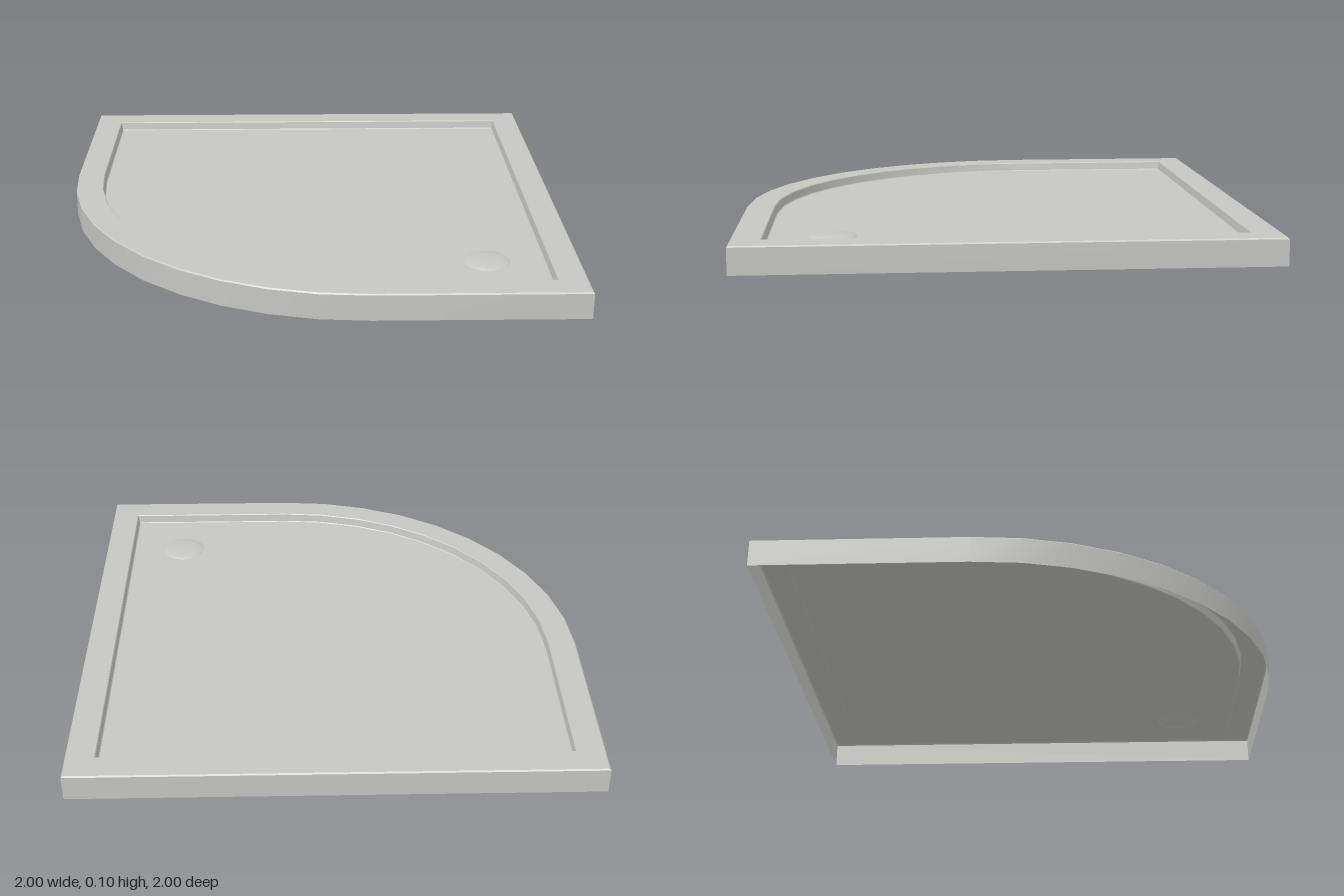
import * as THREE from 'three';
import { toCreasedNormals } from 'three/addons/utils/BufferGeometryUtils.js';

const RADIUS = 1.2, ARC_STEPS = 10;
const FLOOR_Y = 0.068, FLOOR_INSET = 0.12;
const DRAIN = { x: 0.66, z: 0.64, r: 0.09 };

// Quadrant outline moved inwards by a given amount; counterclockwise from above, as [x, z]
function outline(inset) {
  const e = 1 - inset, c = RADIUS - 1, r = RADIUS - inset;
  const points = [[e, e], [e, -e], [-e, -e]];
  for (let i = 0; i <= ARC_STEPS; i++) {
    const a = (i / ARC_STEPS) * Math.PI / 2;
    points.push([c - r * Math.cos(a), -c + r * Math.sin(a)]);
  }
  return points;
}

// Skin running around the outline through a list of [inset, height] steps
function skin(profile) {
  const positions = [], index = [];
  let n = 0;
  for (const [inset, y] of profile) {
    const loop = outline(inset);
    n = loop.length;
    for (const [x, z] of loop) positions.push(x, y, z);
  }
  for (let j = 0; j < profile.length - 1; j++) {
    for (let k = 0; k < n; k++) {
      const a = j * n + k, b = j * n + (k + 1) % n;
      index.push(a, b, b + n, a, b + n, a + n);
    }
  }
  const geometry = new THREE.BufferGeometry();
  geometry.setAttribute('position', new THREE.Float32BufferAttribute(positions, 3));
  geometry.setIndex(index);
  return toCreasedNormals(geometry, 0.45);
}

export function createModel() {
  const group = new THREE.Group();
  group.name = 'showerTray';
  const enamel = new THREE.MeshStandardMaterial({ color: 0xc6c6c3, side: THREE.DoubleSide });
  enamel.name = 'palegrey enamel';

  const add = (name, geometry) => {
    const mesh = new THREE.Mesh(geometry, enamel);
    mesh.name = name;
    group.add(mesh);
    return mesh;
  };

  // Outer skirt with a softened top edge
  add('skirt', skin([[0, 0], [0, 0.1], [0.005, 0.105]]));

  // Flat rim and the steep wall down to the floor
  add('rim', skin([[0.005, 0.105], [0.109, 0.105], [0.112, 0.102]]));
  add('basinWall', skin([[0.112, 0.102], [0.117, 0.071], [FLOOR_INSET, FLOOR_Y]]));

  // Floor with a round opening for the drain
  const shape = new THREE.Shape(outline(FLOOR_INSET).map(([x, z]) => new THREE.Vector2(x, -z)));
  const hole = new THREE.Path();
  hole.absarc(DRAIN.x, -DRAIN.z, DRAIN.r, 0, Math.PI * 2, true);
  shape.holes.push(hole);
  const floor = new THREE.ShapeGeometry(shape, 12);
  floor.rotateX(-Math.PI / 2);
  add('floor', floor).position.y = FLOOR_Y;

  // Shallow domed drain cover
  const dome = [[DRAIN.r, 0], [0.085, 0.004], [0.065, 0.008], [0.035, 0.011], [0, 0.012]];
  const cover = new THREE.LatheGeometry(dome.map(([r, y]) => new THREE.Vector2(r, y)), 24);
  add('drainCover', cover).position.set(DRAIN.x, FLOOR_Y, DRAIN.z);

  return group;
}
